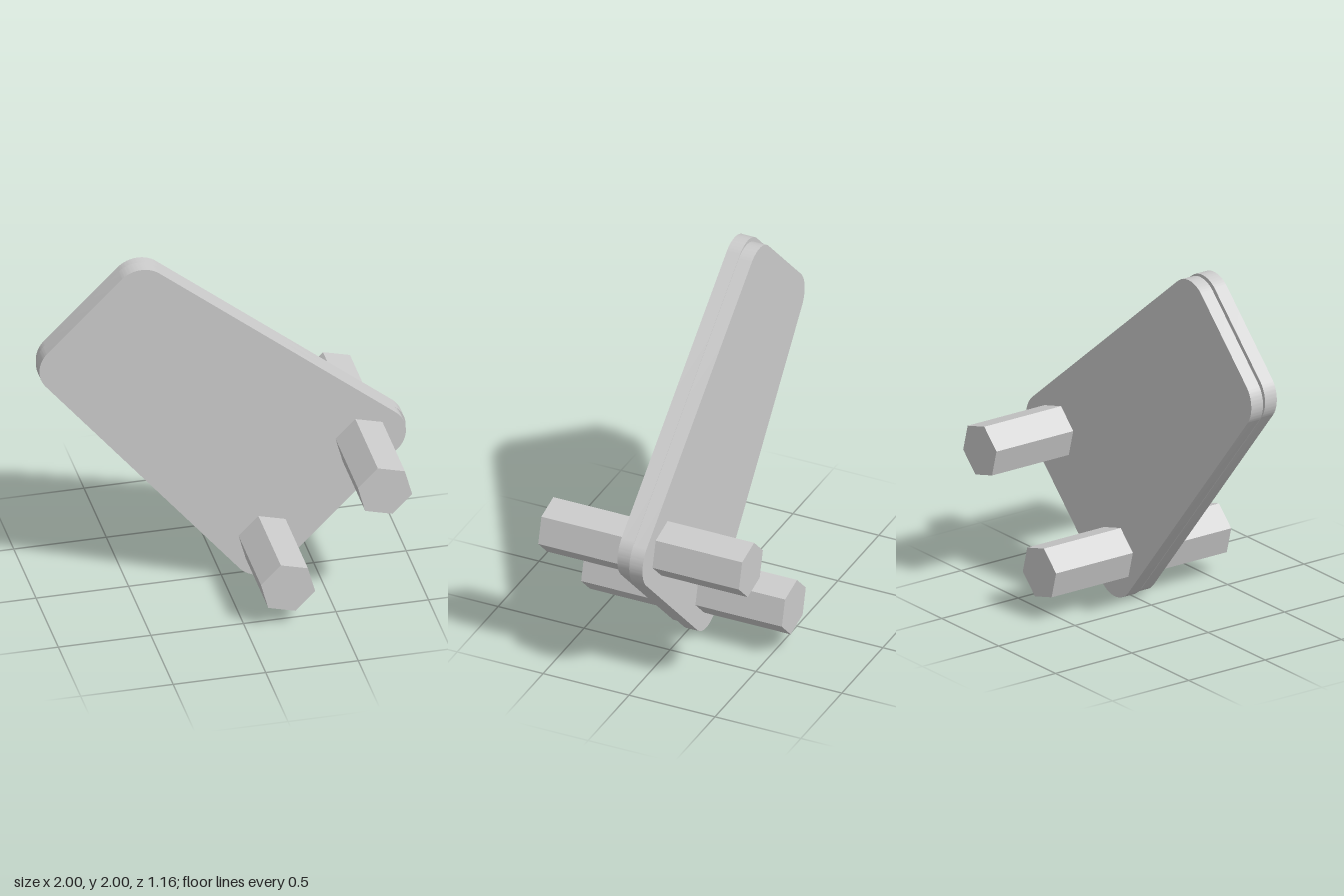
import * as THREE from 'three';
import { toCreasedNormals } from 'three/addons/utils/BufferGeometryUtils.js';

const THICK = 0.077, REACH = 0.58, RADIUS = 0.155;

// Tapered slab outline: four round corners joined by tangent lines
function plateShape() {
  const corners = [[0.825, 0.8], [-0.45, 1.845], [-0.845, 1.45], [0.2, 0.175]];
  const angles = [-45, 50.64, 135, 219.36, 315].map(THREE.MathUtils.degToRad);
  const shape = new THREE.Shape();
  corners.forEach(([x, y], i) => shape.absarc(x, y, RADIUS, angles[i], angles[i + 1], false));
  return shape;
}

export function createModel() {
  const model = new THREE.Group();
  model.name = 'pedalPair';
  const material = new THREE.MeshStandardMaterial({ color: 0xcccccc });
  const flat = new THREE.MeshStandardMaterial({ color: 0xcccccc, flatShading: true });

  const slab = toCreasedNormals(new THREE.ExtrudeGeometry(plateShape(), {
    depth: THICK, bevelEnabled: false, curveSegments: 16,
  }), 0.5);

  // Hexagonal post lying along z
  const length = REACH - THICK;
  const hex = new THREE.CylinderGeometry(0.1515, 0.1515, length, 6, 1, false, -Math.PI / 4);
  hex.rotateX(Math.PI / 2);

  // Two slabs back to back, slightly slipped along their length, two posts on each
  const halves = [
    { name: 'front', side: 1, slip: 0, posts: [[0.222, 0.238], [0.746, 0.762]] },
    { name: 'back', side: -1, slip: 0.0175, posts: [[0.205, 0.256], [0.729, 0.78]] },
  ];
  for (const { name, side, slip, posts } of halves) {
    const half = new THREE.Group();
    half.name = name + 'Half';
    const plate = new THREE.Mesh(slab, material);
    plate.name = name + 'Plate';
    plate.position.set(slip, -slip, side > 0 ? 0 : -THICK);
    half.add(plate);
    posts.forEach(([x, y], i) => {
      const post = new THREE.Mesh(hex, flat);
      post.name = name + (i ? 'UpperPost' : 'LowerPost');
      post.position.set(x, y, side * (THICK + length / 2));
      half.add(post);
    });
    model.add(half);
  }
  return model;
}
